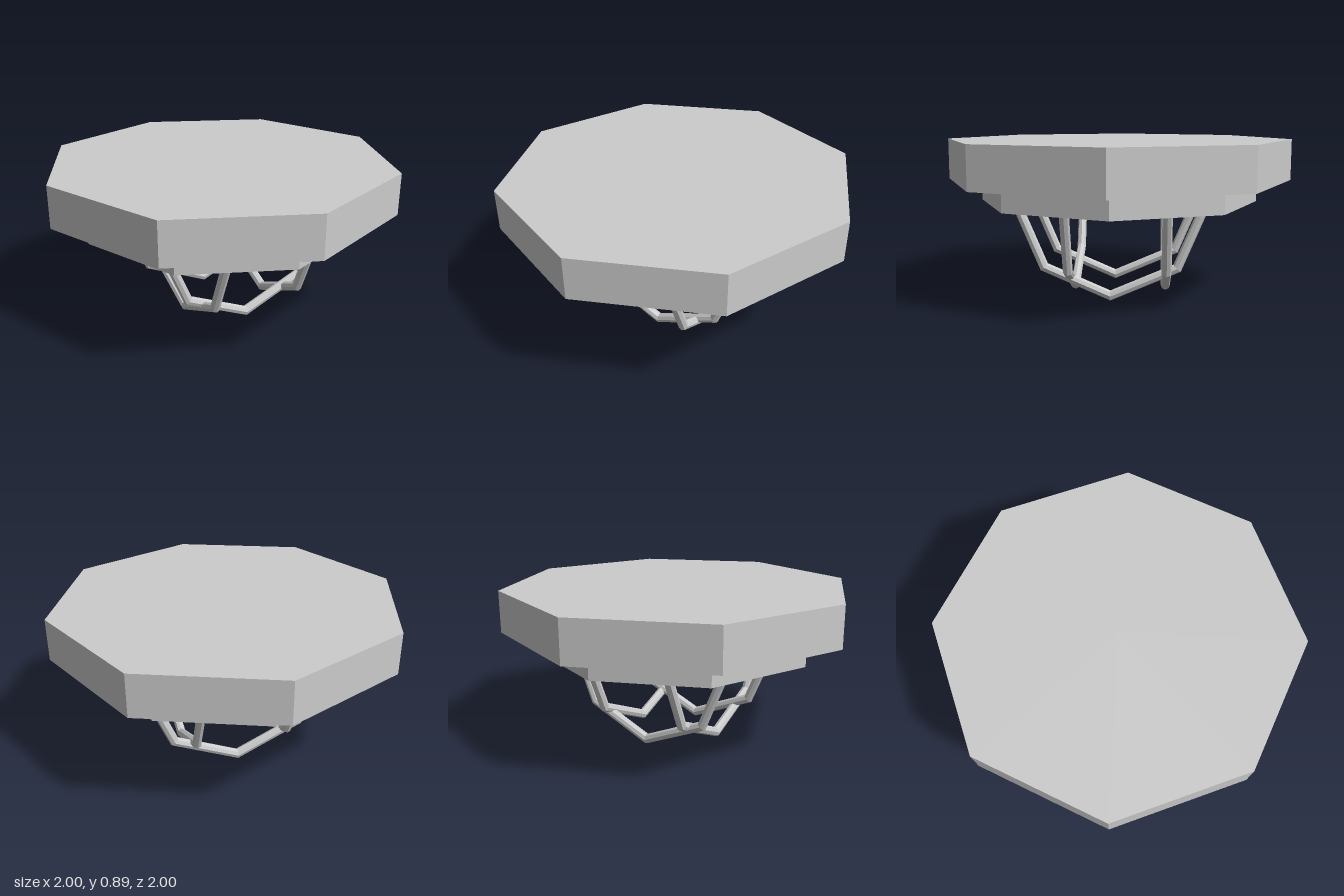
import * as THREE from 'three';

const material = new THREE.MeshStandardMaterial({ color: 0xcccccc, flatShading: true, side: THREE.DoubleSide });

// Mitred eight-sided rod along a path in the XY plane
function rodGeometry(path, radius, sides = 8) {
  const positions = [], index = [];
  const direction = (i) => path[i + 1].clone().sub(path[i]).normalize();
  path.forEach((p, i) => {
    const before = direction(Math.max(i - 1, 0));
    const after = direction(Math.min(i, path.length - 2));
    const tangent = before.clone().add(after).normalize();
    const mitre = radius / tangent.dot(after);
    // End rings are cut level with the underside of the top
    const end = i === 0 || i === path.length - 1;
    const nx = end ? -Math.sign(tangent.y) * radius / Math.abs(tangent.y) : -tangent.y * mitre;
    const ny = end ? 0 : tangent.x * mitre;
    for (let j = 0; j < sides; j++) {
      const a = (j / sides) * Math.PI * 2;
      positions.push(p.x + nx * Math.cos(a), p.y + ny * Math.cos(a), radius * Math.sin(a));
    }
  });
  for (let i = 0; i < path.length - 1; i++) {
    for (let j = 0; j < sides; j++) {
      const a = i * sides + j, b = i * sides + (j + 1) % sides;
      index.push(a, b, a + sides, b, b + sides, a + sides);
    }
  }
  const geometry = new THREE.BufferGeometry();
  geometry.setAttribute('position', new THREE.Float32BufferAttribute(positions, 3));
  geometry.setIndex(index);
  geometry.computeVertexNormals();
  return geometry;
}

export function createModel() {
  const model = new THREE.Group();
  model.name = 'octagonalTable';

  const add = (name, geometry, x, y, z, turn = 0) => {
    const mesh = new THREE.Mesh(geometry, material);
    mesh.name = name;
    mesh.position.set(x, y, z);
    mesh.rotation.y = turn;
    model.add(mesh);
  };

  // Octagonal slab and the smaller slab beneath it
  add('tableTop', new THREE.CylinderGeometry(1, 1, 0.235, 8), 0, 0.7725, 0);
  add('underTop', new THREE.CylinderGeometry(0.805, 0.805, 0.125, 8), 0, 0.5925, 0);

  // Bent leg frames: two run left to right, two front to back
  const path = [[-0.514, 0.53], [-0.37, 0.189], [0, 0.029], [0.37, 0.189], [0.514, 0.53]]
    .map(([x, y]) => new THREE.Vector2(x, y));
  const rod = rodGeometry(path, 0.027);
  for (const z of [0.251, -0.283]) add('crossLegFrame', rod, 0.027, 0, z);
  for (const x of [-0.251, 0.283]) add('lengthLegFrame', rod, x, 0, 0.027, -Math.PI / 2);

  return model;
}
